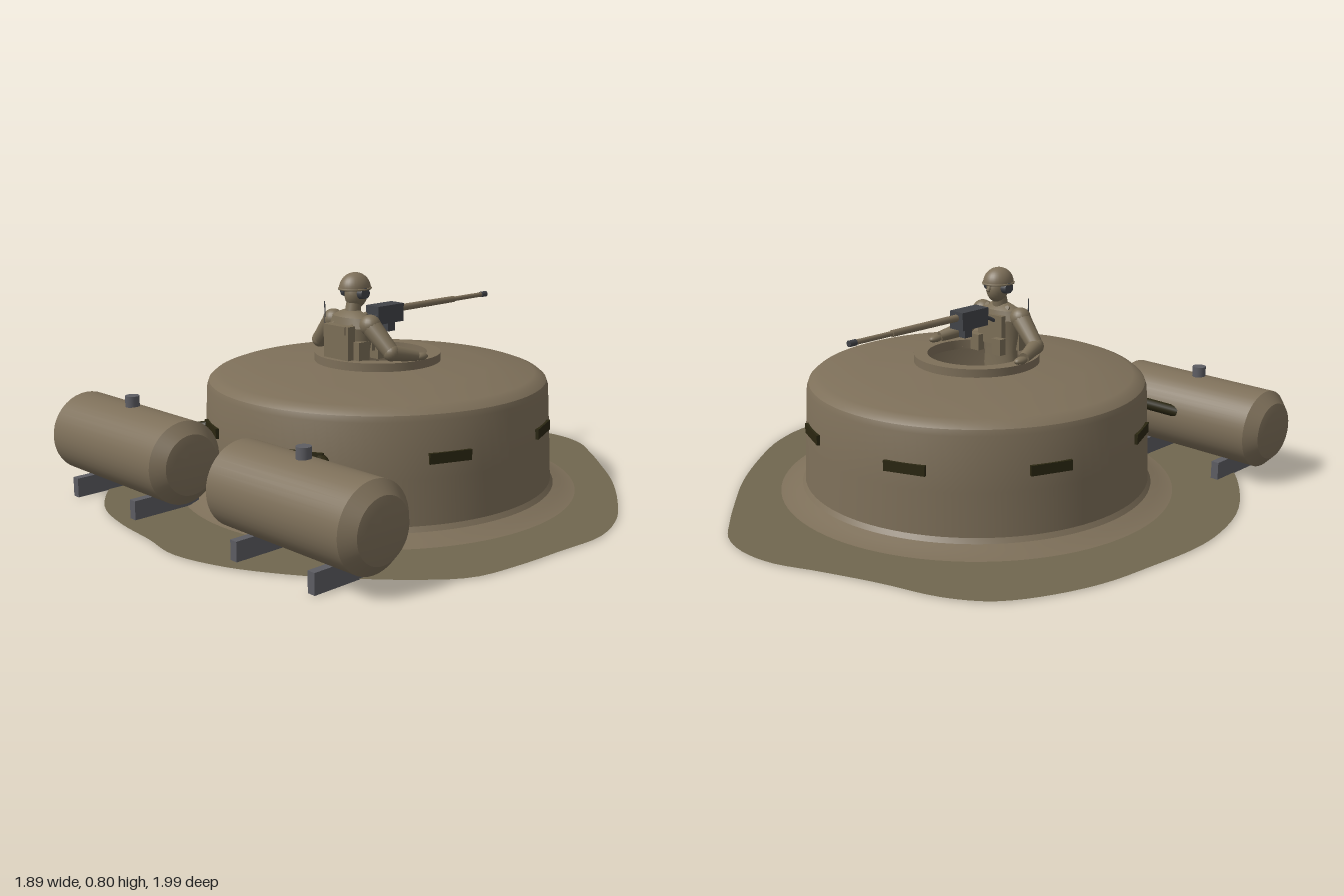
import * as THREE from 'three';
import { toCreasedNormals } from 'three/addons/utils/BufferGeometryUtils.js';

const mat = (name, color, side = THREE.FrontSide) => {
  const m = new THREE.MeshStandardMaterial({ color, side });
  m.name = name;
  return m;
};

export function createModel() {
  const model = new THREE.Group();
  model.name = 'bunker';
  const hullMat = mat('earth brown', 0x7d6f59, THREE.DoubleSide);
  const groundMat = mat('ground brown', 0x71674f, THREE.DoubleSide);
  const cloth = mat('uniform brown', 0x7b6e57);
  const steel = mat('grey steel', 0x5d5d63);
  const gunMetal = mat('gun metal', 0x414348);
  const dark = mat('dark opening', 0x2a2611);

  const add = (name, geo, material, x = 0, y = 0, z = 0, parent = model) => {
    const m = new THREE.Mesh(geo, material);
    m.name = name;
    m.position.set(x, y, z);
    parent.add(m);
    return m;
  };
  const box = (name, w, h, d, material, x, y, z, parent) =>
    add(name, new THREE.BoxGeometry(w, h, d), material, x, y, z, parent);
  const lathe = (pts, seg = 64) => toCreasedNormals(
    new THREE.LatheGeometry(pts.map(p => new THREE.Vector2(...p)), seg), 0.5);
  const ball = (name, rx, ry, rz, material, x, y, z, parent) => {
    const m = add(name, new THREE.SphereGeometry(1, 20, 14), material, x, y, z, parent);
    m.scale.set(rx, ry, rz);
    return m;
  };
  // Tapered round bar between two points
  const bar = (name, a, b, ra, rb, material, parent, seg = 16) => {
    const A = new THREE.Vector3(...a), B = new THREE.Vector3(...b);
    const d = B.clone().sub(A);
    const m = add(name, new THREE.CylinderGeometry(rb, ra, d.length(), seg), material, 0, 0, 0, parent);
    m.position.copy(A).add(B).multiplyScalar(0.5);
    m.quaternion.setFromUnitVectors(new THREE.Vector3(0, 1, 0), d.normalize());
    return m;
  };

  // Irregular ground patch, outline given as x, z
  const outline = [
    [0.09, -1], [0.21, -0.97], [0.32, -0.89], [0.46, -0.77], [0.61, -0.63], [0.76, -0.45],
    [0.88, -0.27], [0.94, -0.09], [0.93, 0.1], [0.915, 0.3], [0.88, 0.47], [0.77, 0.61],
    [0.6, 0.76], [0.44, 0.87], [0.28, 0.95], [0.09, 0.995], [-0.07, 0.97], [-0.26, 0.95],
    [-0.44, 0.9], [-0.62, 0.77], [-0.76, 0.61], [-0.88, 0.41], [-0.94, 0.2], [-0.95, 0.05],
    [-0.93, -0.15], [-0.9, -0.35], [-0.83, -0.54], [-0.74, -0.68], [-0.61, -0.77],
    [-0.4, -0.84], [-0.2, -0.92], [-0.05, -0.985],
  ].map(([x, z]) => new THREE.Vector3(x, -z, 0));
  const edge = new THREE.CatmullRomCurve3(outline, true).getPoints(120);
  edge.pop();
  const ground = new THREE.ShapeGeometry(new THREE.Shape(edge.map(p => new THREE.Vector2(p.x, p.y))));
  ground.rotateX(-Math.PI / 2);
  add('ground', ground, groundMat, 0, 0.003, 0);

  // Round casemate with flared foot and open roof hatch
  add('casemate', lathe([
    [0.735, 0.002], [0.715, 0.005], [0.675, 0.018], [0.648, 0.028], [0.637, 0.045],
    [0.63, 0.2], [0.62, 0.39], [0.613, 0.41], [0.595, 0.425], [0.57, 0.434],
    [0.4, 0.453], [0.23, 0.47], [0.18, 0.473],
  ], 96), hullMat);
  add('hatchRing', lathe([[0.18, 0.465], [0.23, 0.465], [0.23, 0.5], [0.18, 0.5], [0.18, 0.465]]), hullMat);

  // Eight firing slits around the wall
  for (let i = 0; i < 8; i++) {
    const a = (i + 0.5) * Math.PI / 4;
    const slit = box('firingSlit', 0.15, 0.036, 0.04, dark,
      Math.sin(a) * 0.613, 0.268, Math.cos(a) * 0.613);
    slit.rotation.y = a;
  }

  // Pair of fuel tanks with caps, cradles and feed pipes
  for (const s of [1, -1]) {
    const tank = new THREE.Group();
    tank.name = s > 0 ? 'leftTank' : 'rightTank';
    tank.position.set(s * 0.455, 0, 0.76);
    model.add(tank);
    const shell = add('tankShell', lathe([
      [0, -0.35], [0.075, -0.348], [0.105, -0.34], [0.145, -0.3],
      [0.145, 0.3], [0.105, 0.34], [0.075, 0.348], [0, 0.35],
    ], 40), hullMat, 0, 0.2, 0, tank);
    shell.rotation.z = -Math.PI / 2;
    add('fillerCap', new THREE.CylinderGeometry(0.025, 0.025, 0.06, 20), steel, 0, 0.352, 0, tank);
    for (const x of [-0.18, 0.18]) box('cradle', 0.03, 0.07, 0.265, steel, x, 0.035, 0.003, tank);
    bar('feedPipe', [s * 0.3, 0.26, 0.55], [s * 0.45, 0.225, 0.635], 0.022, 0.022, dark);
  }

  // Machine gun pointing to the rear
  const gun = new THREE.Group();
  gun.name = 'machineGun';
  model.add(gun);
  box('receiver', 0.064, 0.066, 0.13, gunMetal, 0, 0.635, -0.038, gun);
  box('mount', 0.03, 0.035, 0.035, gunMetal, 0, 0.585, -0.057, gun);
  bar('barrelJacket', [0, 0.645, -0.1], [0, 0.645, -0.41], 0.013, 0.012, hullMat, gun);
  bar('barrel', [0, 0.645, -0.41], [0, 0.645, -0.575], 0.009, 0.009, hullMat, gun);
  bar('muzzle', [0, 0.645, -0.57], [0, 0.645, -0.6], 0.011, 0.011, gunMetal, gun);
  for (const s of [1, -1]) {
    bar('spadeGrip', [s * 0.02, 0.635, 0.02], [s * 0.02, 0.61, 0.07], 0.007, 0.007, gunMetal, gun, 10);
  }

  // Gunner standing in the hatch, facing the rear
  const man = new THREE.Group();
  man.name = 'gunner';
  model.add(man);
  const torso = add('torso', lathe([
    [0, 0.36], [0.075, 0.37], [0.078, 0.43], [0.073, 0.49], [0.088, 0.56],
    [0.1, 0.61], [0.085, 0.645], [0.04, 0.665], [0, 0.668],
  ], 28), cloth, 0, 0, 0.13, man);
  torso.scale.z = 0.55;
  bar('neck', [0, 0.65, 0.125], [0, 0.7, 0.117], 0.029, 0.026, cloth, man);
  ball('head', 0.037, 0.05, 0.044, cloth, 0, 0.72, 0.108, man);
  bar('nose', [0, 0.735, 0.07], [0, 0.717, 0.057], 0.004, 0.008, cloth, man, 8);
  const helmet = add('helmet', new THREE.SphereGeometry(1, 28, 12, 0, Math.PI * 2, 0, Math.PI / 2),
    hullMat, 0, 0.742, 0.113, man);
  helmet.scale.set(0.053, 0.057, 0.06);
  const rim = add('helmetRim', new THREE.TorusGeometry(0.053, 0.004, 8, 28), cloth, 0, 0.742, 0.113, man);
  rim.rotation.x = Math.PI / 2;
  rim.scale.y = 1.12;

  // Vest: back pack and front plate
  box('backPack', 0.125, 0.12, 0.035, cloth, 0, 0.56, 0.19, man);
  box('packFlap', 0.1, 0.03, 0.01, cloth, 0, 0.605, 0.207, man);
  box('chestPlate', 0.12, 0.11, 0.02, cloth, 0, 0.575, 0.078, man);
  bar('antenna', [-0.1, 0.56, 0.165], [-0.103, 0.69, 0.165], 0.0025, 0.002, gunMetal, man, 6);

  for (const s of [1, -1]) {
    const earCup = bar('earCup', [s * 0.034, 0.728, 0.113], [s * 0.055, 0.728, 0.113], 0.022, 0.019, gunMetal, man);
    earCup.scale.z = 1.1;
    const shoulder = [s * 0.095, 0.622, 0.13], elbow = [s * 0.185, 0.535, 0.115], wrist = [s * 0.215, 0.515, 0.02];
    ball('shoulder', 0.04, 0.038, 0.038, cloth, ...shoulder, man);
    bar('upperArm', shoulder, elbow, 0.037, 0.029, cloth, man);
    ball('elbow', 0.03, 0.03, 0.03, cloth, ...elbow, man);
    bar('forearm', elbow, wrist, 0.029, 0.02, cloth, man);
    ball('hand', 0.018, 0.014, 0.03, cloth, s * 0.218, 0.51, 0.0, man);
    box('sidePouch', 0.03, 0.07, 0.05, cloth, s * 0.075, 0.53, 0.155, man);
    box('frontPouch', 0.042, 0.06, 0.03, cloth, s * 0.055, 0.52, 0.058, man);
    bar('strap', [s * 0.05, 0.655, 0.105], [s * 0.045, 0.61, 0.182], 0.01, 0.01, cloth, man, 8);
    // Legs and boots
    bar('thigh', [s * 0.042, 0.4, 0.13], [s * 0.05, 0.21, 0.115], 0.047, 0.035, cloth, man);
    ball('knee', 0.036, 0.036, 0.036, cloth, s * 0.05, 0.21, 0.115, man);
    bar('shin', [s * 0.05, 0.21, 0.115], [s * 0.055, 0.04, 0.135], 0.035, 0.024, cloth, man);
    const boot = box('boot', 0.042, 0.045, 0.1, dark, s * 0.055, 0.0225, 0.115, man);
    boot.rotation.y = -s * 0.2;
  }
  return model;
}
